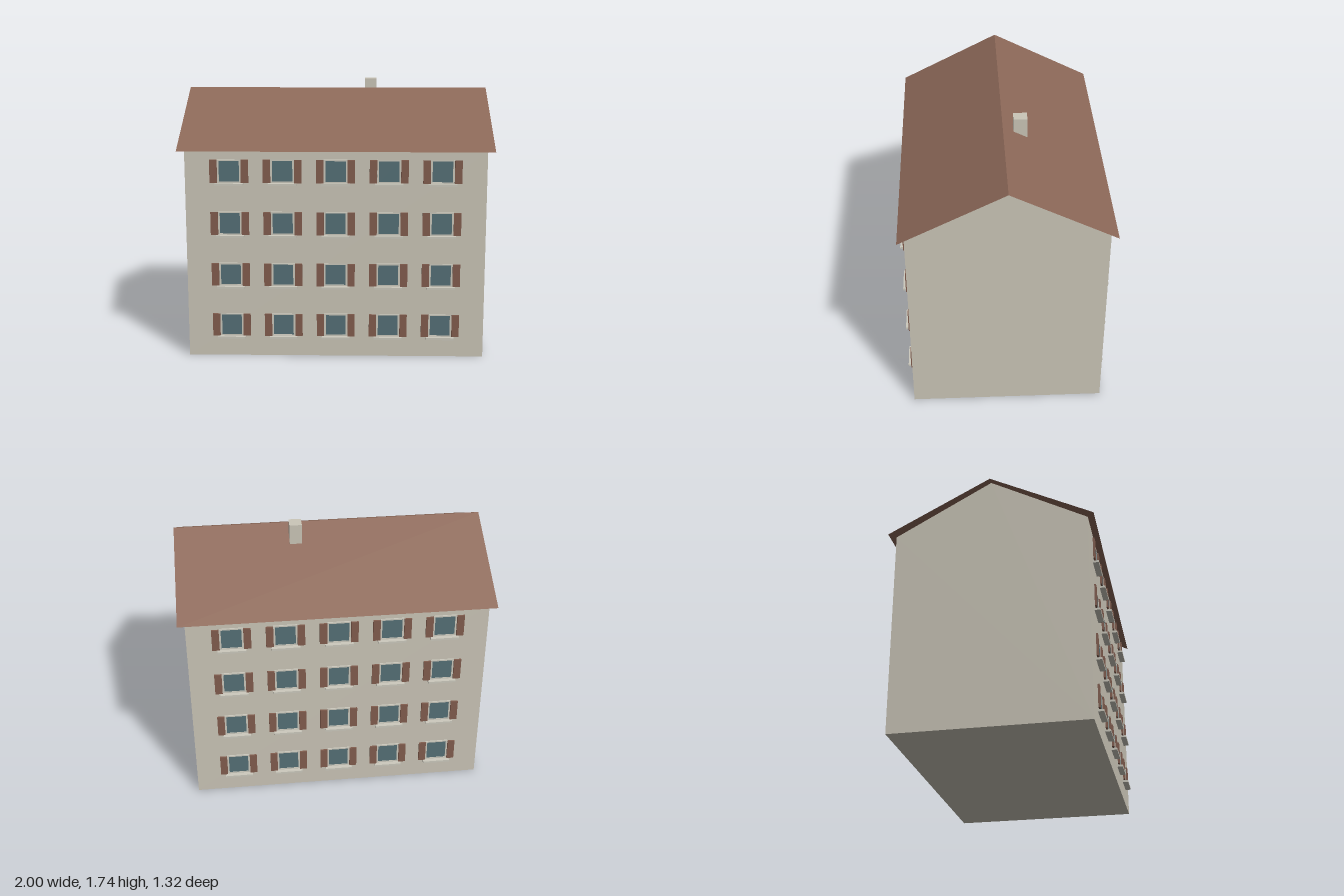
import * as THREE from 'three';

const mat = (name, color, side = THREE.FrontSide) => {
  const m = new THREE.MeshStandardMaterial({ color, side });
  m.name = name;
  return m;
};

export function createModel() {
  const plaster = mat('plaster', 0xcbc6b8);
  const tile = mat('roof tile', 0x8c6858, THREE.DoubleSide);
  const wood = mat('shutter wood', 0x825d4e);
  const glass = mat('window glass', 0x557077);
  const trim = mat('window trim', 0xcdcabe);

  const add = (parent, name, geometry, material, x = 0, y = 0, z = 0) => {
    const mesh = new THREE.Mesh(geometry, material);
    mesh.name = name;
    mesh.position.set(x, y, z);
    parent.add(mesh);
    return mesh;
  };
  const model = new THREE.Group();
  model.name = 'apartmentHouse';

  // Walls: gabled cross-section extruded along x
  const W = 0.955, D = 0.62, EAVE = 1.352, RIDGE = 1.69;
  const section = new THREE.Shape([
    [-D, 0], [D, 0], [D, EAVE], [0, RIDGE - 0.002], [-D, EAVE],
  ].map(([x, y]) => new THREE.Vector2(x, y)));
  const wallGeo = new THREE.ExtrudeGeometry(section, { depth: 2 * W, bevelEnabled: false });
  wallGeo.translate(0, 0, -W).rotateY(Math.PI / 2);
  add(model, 'walls', wallGeo, plaster);

  // Roof: two thin sheets overhanging the walls
  const EDGE = 0.662, drop = RIDGE - EAVE;
  for (const s of [1, -1]) {
    const slope = new THREE.PlaneGeometry(2, Math.hypot(EDGE, drop));
    slope.rotateX(-Math.atan2(EDGE, drop));
    const sheet = add(model, s > 0 ? 'frontRoof' : 'backRoof', slope, tile,
      0, (RIDGE + EAVE) / 2, s * EDGE / 2);
    if (s < 0) sheet.rotation.y = Math.PI;
  }

  // Chimney behind the ridge
  add(model, 'chimney', new THREE.BoxGeometry(0.08, 0.2, 0.088), plaster, 0.224, 1.643, -0.112);

  // Window parts
  const rect = (Type, w, h) => new Type([
    new THREE.Vector2(-w, -h), new THREE.Vector2(w, -h),
    new THREE.Vector2(w, h), new THREE.Vector2(-w, h),
  ]);
  const frameShape = rect(THREE.Shape, 0.075, 0.075);
  frameShape.holes.push(rect(THREE.Path, 0.064, 0.066));
  const frameGeo = new THREE.ExtrudeGeometry(frameShape, { depth: 0.009, bevelEnabled: false });
  const glassGeo = new THREE.BoxGeometry(0.13, 0.134, 0.006);
  const shutterGeo = new THREE.BoxGeometry(0.047, 0.148, 0.011);
  const sillGeo = new THREE.BoxGeometry(0.18, 0.014, 0.037);

  const addWindow = (parent, x, y) => {
    const win = new THREE.Group();
    win.name = 'window';
    win.position.set(x, y, D);
    add(win, 'frame', frameGeo, trim);
    add(win, 'glass', glassGeo, glass, 0, 0, 0.003);
    add(win, 'sill', sillGeo, trim, 0, -0.082, 0.0185);
    for (const s of [1, -1]) add(win, 'shutter', shutterGeo, wood, s * 0.099, 0, 0.0125);
    parent.add(win);
  };

  // Five columns by four storeys, on front and back
  for (const side of ['frontWindows', 'backWindows']) {
    const facade = new THREE.Group();
    facade.name = side;
    if (side === 'backWindows') facade.rotation.y = Math.PI;
    for (let floor = 0; floor < 4; floor++)
      for (let col = -2; col <= 2; col++) addWindow(facade, col * 0.337, 0.211 + floor * 0.337);
    model.add(facade);
  }
  return model;
}
